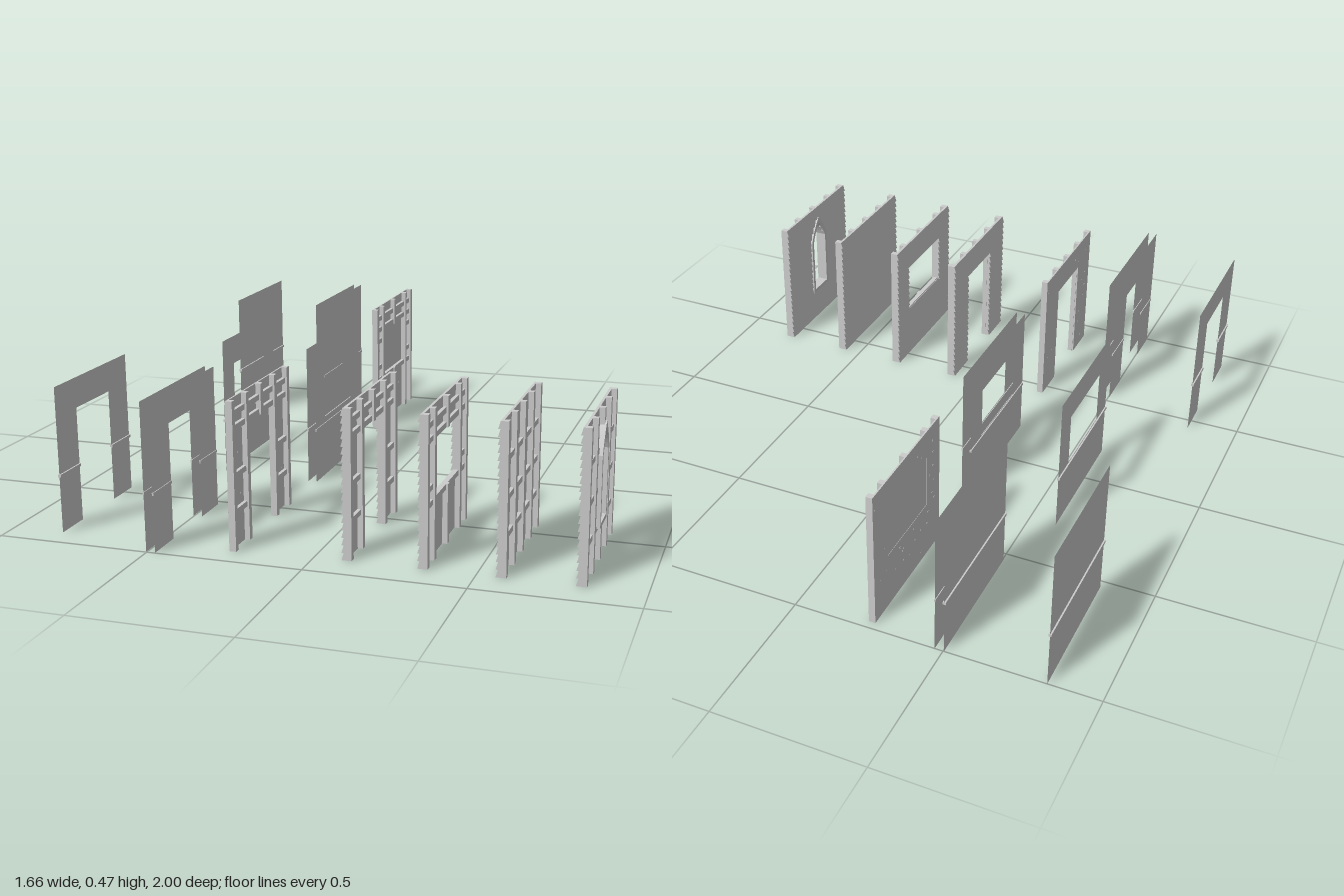
import * as THREE from 'three';

const BASE = 0.007, TOP = 0.478, HALF = 0.235;
const grey = new THREE.MeshStandardMaterial({ color: 0xcccccc, flatShading: true, side: THREE.DoubleSide });

// Openings are measured from the middle of their panel
const door = { half: 0.107, y0: 0, y1: 0.38 };
const window_ = { half: 0.14, y0: 0.2, y1: 0.38 };
const lancet = { half: 0.055, y0: 0.13, y1: 0.425, spring: 0.345 };

function add(group, geometry, name) {
  const mesh = new THREE.Mesh(geometry, grey);
  mesh.name = name;
  group.add(mesh);
  return mesh;
}

function box(group, name, x0, x1, y0, y1, z0, z1) {
  const mesh = add(group, new THREE.BoxGeometry(x1 - x0, y1 - y0, z1 - z0), name);
  mesh.position.set((x0 + x1) / 2, (y0 + y1) / 2, (z0 + z1) / 2);
}

// Half width of an opening at height y, zero outside it
function halfAt(o, y) {
  if (!o || y < o.y0 || y > o.y1) return 0;
  if (!o.spring || y < o.spring) return o.half;
  return o.half * (o.y1 - y) / (o.y1 - o.spring);
}

// Free stretches along the panel at height y
function spans(o, y) {
  const h = halfAt(o, y);
  return h > 0 ? [[-HALF, -h], [h, HALF]] : [[-HALF, HALF]];
}

function lancetPath(path, half, y0, spring, apex) {
  path.moveTo(-half, y0);
  path.lineTo(half, y0);
  path.lineTo(half, spring);
  path.quadraticCurveTo(half * 0.65, (spring + apex) / 2 + 0.006, 0, apex);
  path.quadraticCurveTo(-half * 0.65, (spring + apex) / 2 + 0.006, -half, spring);
  path.closePath();
  return path;
}

// Panel outline with its opening
function outline(o) {
  const s = new THREE.Shape();
  s.moveTo(-HALF, BASE);
  if (o === door) {
    s.lineTo(-o.half, BASE);
    s.lineTo(-o.half, o.y1);
    s.lineTo(o.half, o.y1);
    s.lineTo(o.half, BASE);
  }
  s.lineTo(HALF, BASE);
  s.lineTo(HALF, TOP);
  s.lineTo(-HALF, TOP);
  s.closePath();
  if (o === lancet) s.holes.push(lancetPath(new THREE.Path(), o.half, o.y0, o.spring, o.y1));
  if (o === window_) {
    const p = new THREE.Path();
    p.moveTo(-o.half, o.y0);
    p.lineTo(-o.half, o.y1);
    p.lineTo(o.half, o.y1);
    p.lineTo(o.half, o.y0);
    p.closePath();
    s.holes.push(p);
  }
  return s;
}

// Turns a flat shape into the zy plane; depth runs from x1 back to x1 - depth
function slab(group, name, shape, x1, depth) {
  const g = new THREE.ExtrudeGeometry(shape, { depth, bevelEnabled: false, curveSegments: 5 });
  add(group, g.rotateY(-Math.PI / 2), name).position.x = x1;
}

// Thin sheet with a narrow rail across it
function plainPanel(x, z, o, railWidth) {
  const g = new THREE.Group();
  g.name = 'plainPanel';
  add(g, new THREE.ShapeGeometry(outline(o)).rotateY(-Math.PI / 2), 'sheet');
  for (const [a, b] of spans(o, 0.192)) box(g, 'rail', -railWidth / 2, railWidth / 2, 0.188, 0.197, a, b);
  g.position.set(x, 0, z);
  return g;
}

// Posts and rails on the +x face of a panel
function framing(g, x, o, studs, rails) {
  const w = 0.01;
  for (const s of [-HALF + w, ...studs, HALF - w]) {
    const cut = o && Math.abs(s) < o.half;
    const parts = cut ? [[BASE, o.y0], [o.y1, TOP]] : [[BASE, TOP]];
    for (const [a, b] of parts) if (b > a) box(g, 'stud', x, x + 0.017, a, b, s - w, s + w);
  }
  for (const y of rails)
    for (const [a, b] of spans(o, y)) box(g, 'crossRail', x, x + 0.011, y - 0.009, y + 0.009, a, b);
}

// Overlapping boards on the -x face
function siding(g, o) {
  const rows = 20, h = (TOP - BASE) / rows;
  const profile = new THREE.Shape([[0, 0], [0, h], [-0.002, h], [-0.009, 0]].map(p => new THREE.Vector2(...p)));
  for (let i = 0; i < rows; i++) {
    const y = BASE + i * h;
    for (const [a, b] of spans(o, y + h / 2)) {
      const board = new THREE.ExtrudeGeometry(profile, { depth: b - a, bevelEnabled: false });
      add(g, board, 'sidingBoard').position.set(0, y, a);
    }
  }
}

function sidedPanel(x, z, o, studs, rails) {
  const g = new THREE.Group();
  g.name = 'sidedPanel';
  slab(g, 'sheathing', outline(o), 0.006, 0.006);
  siding(g, o);
  framing(g, 0.006, o, studs, rails);
  g.position.set(x, 0, z);
  return g;
}

// Small pegs scattered over both faces of a plastered panel
function pegs(g, o) {
  let seed = 7;
  const rnd = () => (seed = (seed * 16807) % 2147483647) / 2147483647;
  for (let i = 0; i < 40; i++) {
    const z = (rnd() - 0.5) * 0.44, y = 0.02 + rnd() * 0.44;
    if (Math.abs(z) > o.half + 0.01 || y < o.y0 - 0.01 || y > o.y1 + 0.01)
      box(g, 'peg', -0.001, 0.0065, y - 0.002, y + 0.002, z - 0.002, z + 0.002);
  }
}

function plasterPanel(x, z, o, studs, rails, filled) {
  const g = new THREE.Group();
  g.name = 'timberPanel';
  slab(g, 'plaster', outline(o), 0.005, 0.005);
  framing(g, 0.005, o, studs, rails);
  pegs(g, o);
  // Recessed infill in the middle bay
  if (filled) box(g, 'infill', 0.001, 0.004, o.y0, o.y1, -o.half, o.half);
  g.position.set(x, 0, z);
  return g;
}

// Pointed surround standing proud of both faces
function lancetFrame(x, z) {
  const g = new THREE.Group();
  g.name = 'pointedWindowFrame';
  const s = lancetPath(new THREE.Shape(), 0.06, 0.122, 0.347, 0.438);
  s.holes.push(lancetPath(new THREE.Path(), 0.047, 0.135, 0.342, 0.415));
  slab(g, 'surround', s, 0.02, 0.04);
  g.position.set(x, 0, z);
  return g;
}

export function createModel() {
  const model = new THREE.Group();
  model.name = 'wallPanelSet';

  // Plain sheets: x, z, opening, rail width
  const plain = [
    [-0.83, -0.765, null, 0.01], [-0.503, -0.765, null, 0.01], [-0.473, -0.765, null, 0.005],
    [-0.592, -0.055, window_, 0.01], [-0.27, -0.028, window_, 0.007], [-0.24, -0.028, window_, 0.005],
    [-0.83, 0.683, door, 0.01], [-0.503, 0.762, door, 0.005], [-0.473, 0.762, door, 0.005],
  ];
  for (const p of plain) model.add(plainPanel(...p));

  // Plastered timber panels
  model.add(plasterPanel(-0.263, -0.738, window_, [-0.15, 0, 0.15], [0.435, 0.39, 0.345, 0.24, 0.191], true));
  model.add(plasterPanel(-0.263, 0.685, door, [-0.115, 0, 0.115], [0.435, 0.389, 0.24, 0.125]));

  // Boarded timber panels
  const z = 0.658;
  model.add(sidedPanel(0.096, z, door, [-0.116, 0, 0.116], [0.435, 0.389, 0.24, 0.125]));
  model.add(sidedPanel(0.331, z, window_, [-0.149, 0, 0.149], [0.435, 0.389, 0.24, 0.191]));
  model.add(sidedPanel(0.567, z, null, [-0.117, 0, 0.117], [0.36, 0.24, 0.125]));
  model.add(sidedPanel(0.802, z, lancet, [-0.119, 0, 0.119], [0.36, 0.24, 0.12]));
  model.add(lancetFrame(0.81, z));
  return model;
}
